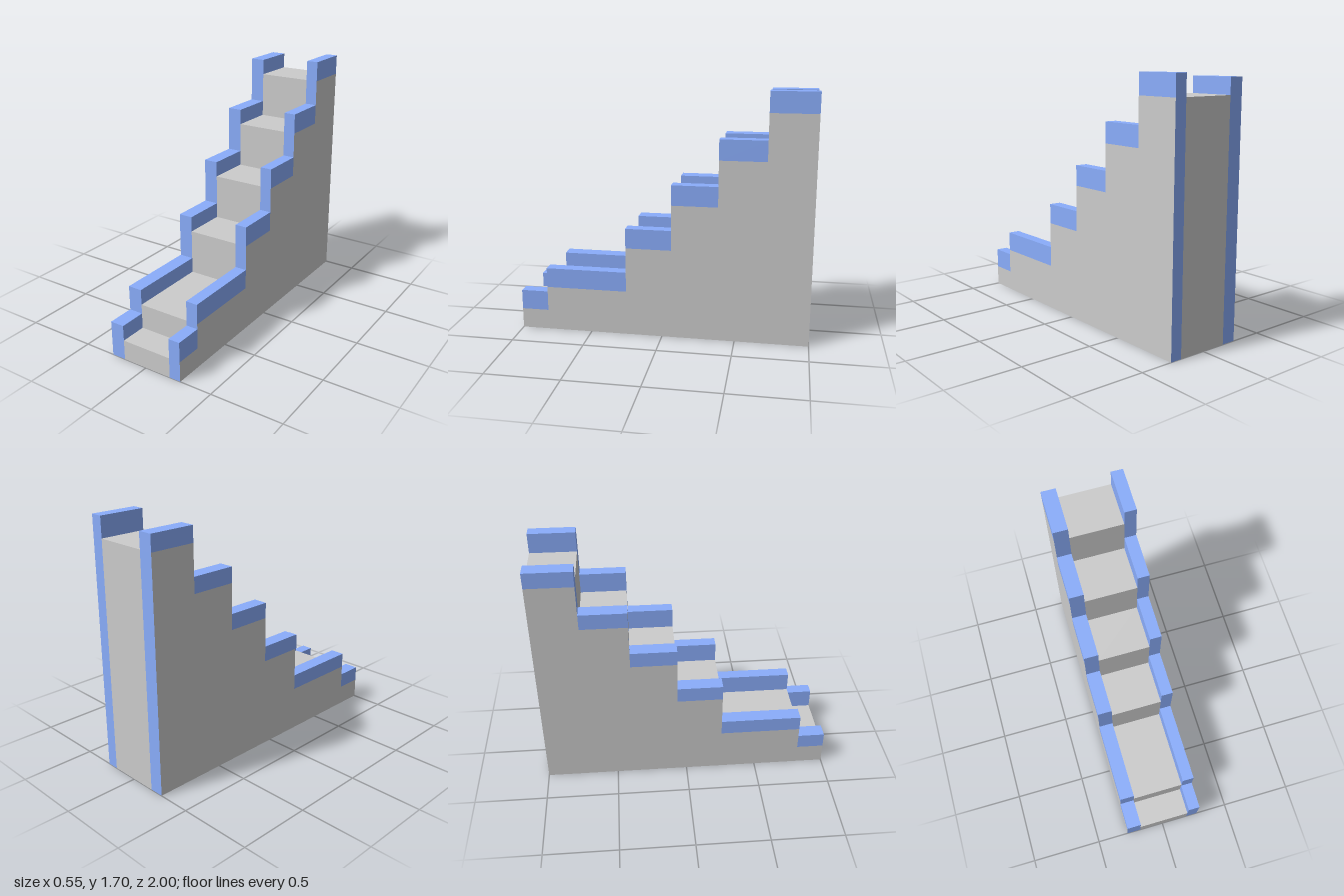
import * as THREE from 'three';

// Each step: front z, back z, tread height
const STEPS = [
  [1, 0.8125, 0.14], [0.8125, 0.25, 0.3125], [0.25, -0.0625, 0.625],
  [-0.0625, -0.375, 0.9375], [-0.375, -0.6875, 1.25], [-0.6875, -1, 1.5625],
];

const grey = new THREE.MeshStandardMaterial({ color: 0xcccccc });
const blue = new THREE.MeshStandardMaterial({ color: 0x8aadfb });

// Stepped side profile extruded across x from x0 to x1
function steppedSlab(x0, x1, base) {
  const shape = new THREE.Shape();
  shape.moveTo(1, base);
  shape.lineTo(-1, base);
  for (const [front, back, h] of [...STEPS].reverse()) {
    shape.lineTo(back, h);
    shape.lineTo(front, h);
  }
  shape.closePath();
  const geo = new THREE.ExtrudeGeometry(shape, { depth: x1 - x0, bevelEnabled: false });
  geo.rotateY(-Math.PI / 2); // profile x -> z, depth -> -x
  geo.translate(x1, 0, 0);
  return geo;
}

// Wall with grey outer face and blue edges, topped by a blue coping on each step
function sideWall(name, x0, x1, rise, base) {
  const wall = new THREE.Group();
  wall.name = name;
  const body = new THREE.Mesh(steppedSlab(x0, x1, base), [grey, blue]);
  body.name = name + 'Body';
  wall.add(body);
  STEPS.forEach(([front, back, h], i) => {
    const coping = new THREE.Mesh(new THREE.BoxGeometry(x1 - x0, rise, front - back), blue);
    coping.position.set((x0 + x1) / 2, h + rise / 2, (front + back) / 2);
    coping.name = name + 'Coping' + (i + 1);
    wall.add(coping);
  });
  return wall;
}

export function createModel() {
  const model = new THREE.Group();
  model.name = 'staircase';

  // Solid flight of steps
  const steps = new THREE.Mesh(steppedSlab(-0.175, 0.19, 0), grey);
  steps.name = 'steps';
  model.add(steps);

  // Side walls: the left one is narrower and slightly taller
  model.add(sideWall('leftWall', 0.19, 0.272, 0.138, 0));
  model.add(sideWall('rightWall', -0.275, -0.175, 0.107, 0.001));

  // Grey underside of the right wall
  const underside = new THREE.Mesh(new THREE.PlaneGeometry(0.1, 2), grey);
  underside.rotation.x = Math.PI / 2;
  underside.position.x = -0.225;
  underside.name = 'rightWallUnderside';
  model.add(underside);

  return model;
}
